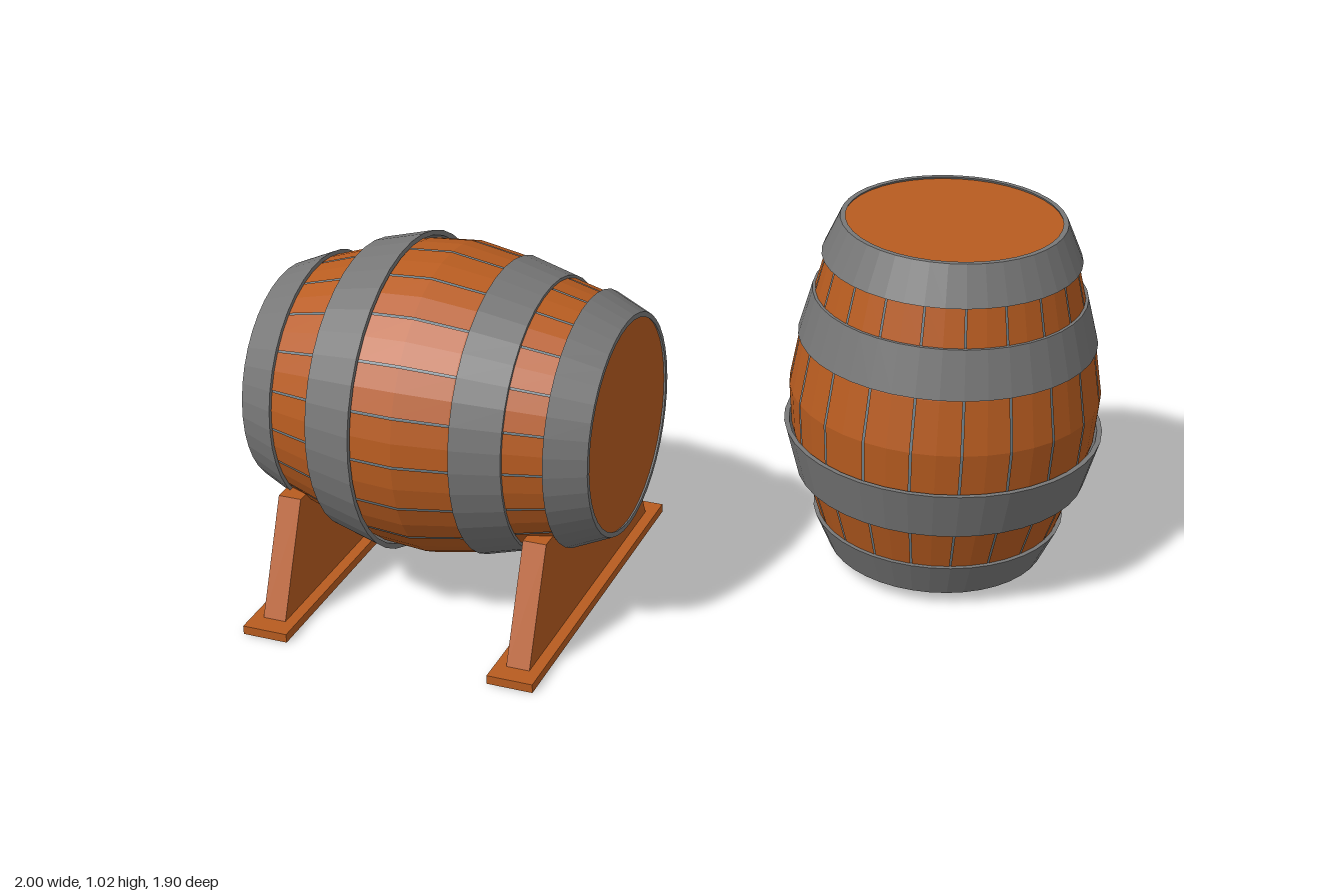
import * as THREE from 'three';

const wood = new THREE.MeshStandardMaterial({ color: 0xb85c20, flatShading: true, side: THREE.DoubleSide });
const metal = new THREE.MeshStandardMaterial({ color: 0x777777, flatShading: true });
const seam = new THREE.MeshStandardMaterial({ color: 0x6d7f88, flatShading: true });

const STAVES = 20;
const SEGMENTS = 40;

// wood radius against height from the barrel's middle
const PROFILE = [[0.29, -0.483], [0.336, -0.385], [0.378, -0.255], [0.416, -0.12], [0.425, 0],
  [0.4, 0.145], [0.362, 0.28], [0.336, 0.385], [0.29, 0.483]];

// hoops: lower height, lower radius, upper height, upper radius
const HOOPS = [
  ['bottomHoop', -0.49, 0.302, -0.385, 0.348],
  ['lowerHoop', -0.255, 0.4, -0.115, 0.437],
  ['upperHoop', 0.15, 0.405, 0.28, 0.37],
  ['topHoop', 0.385, 0.348, 0.49, 0.302],
];

function add(parent, name, geometry, material) {
  const mesh = new THREE.Mesh(geometry, material);
  mesh.name = name;
  parent.add(mesh);
  return mesh;
}

const points = (list, inset = 0) => list.map(([r, y]) => new THREE.Vector2(r - inset, y));

function createBarrel(name) {
  const barrel = new THREE.Group();
  barrel.name = name;

  // core that shows through the narrow seams between the staves
  add(barrel, 'seams', new THREE.LatheGeometry(points(PROFILE, 0.004), SEGMENTS), seam);

  // curved staves
  const step = (Math.PI * 2) / STAVES;
  const gap = 0.014;
  for (let i = 0; i < STAVES; i++) {
    const stave = new THREE.LatheGeometry(points(PROFILE), 2, i * step + gap / 2, step - gap);
    add(barrel, 'stave', stave, wood);
  }

  // metal hoops with a real thickness
  for (const [hoopName, y0, r0, y1, r1] of HOOPS) {
    const t = 0.014;
    const section = [[r0 - t, y0], [r0, y0], [r1, y1], [r1 - t, y1], [r0 - t, y0]];
    add(barrel, hoopName, new THREE.LatheGeometry(points(section), SEGMENTS), metal);
  }

  // heads, set just inside the rims
  for (const side of [-1, 1]) {
    const head = add(barrel, side > 0 ? 'topHead' : 'bottomHead', new THREE.CylinderGeometry(0.291, 0.291, 0.02, SEGMENTS), wood);
    head.position.y = side * 0.474;
  }
  return barrel;
}

function createStand(name) {
  const stand = new THREE.Group();
  stand.name = name;

  // foot plank
  add(stand, 'foot', new THREE.BoxGeometry(0.128, 0.025, 0.993), wood).position.y = 0.0125;

  // tapered upright with a cradle cut for the barrel
  const cradleR = 0.325, axisY = 0.55, topY = 0.33;
  const a = Math.asin((axisY - topY) / cradleR);
  const shape = new THREE.Shape();
  shape.moveTo(-0.44, 0.024);
  shape.lineTo(0.44, 0.024);
  shape.lineTo(0.305, topY);
  shape.lineTo(cradleR * Math.cos(a), topY);
  shape.absarc(0, axisY, cradleR, -a, -Math.PI + a, true);
  shape.lineTo(-0.305, topY);
  shape.closePath();
  const upright = new THREE.ExtrudeGeometry(shape, { depth: 0.065, bevelEnabled: false, curveSegments: 16 });
  upright.translate(0, 0, -0.0325).rotateY(Math.PI / 2);
  add(stand, 'cradle', upright, wood);
  return stand;
}

export function createModel() {
  const model = new THREE.Group();
  model.name = 'barrels';

  const upright = createBarrel('uprightBarrel');
  upright.position.set(0.557, 0.53, -0.52);
  model.add(upright);

  // barrel lying on two stands, turned slightly
  const rack = new THREE.Group();
  rack.name = 'barrelOnStands';
  rack.position.set(-0.447, 0, 0.35);
  rack.rotation.y = 0.281;
  const lying = createBarrel('lyingBarrel');
  lying.rotation.z = -Math.PI / 2;
  lying.position.y = 0.55;
  rack.add(lying);
  for (const [name, x] of [['rightStand', -0.367], ['leftStand', 0.341]]) {
    const stand = createStand(name);
    stand.position.x = x;
    rack.add(stand);
  }
  model.add(rack);
  return model;
}
